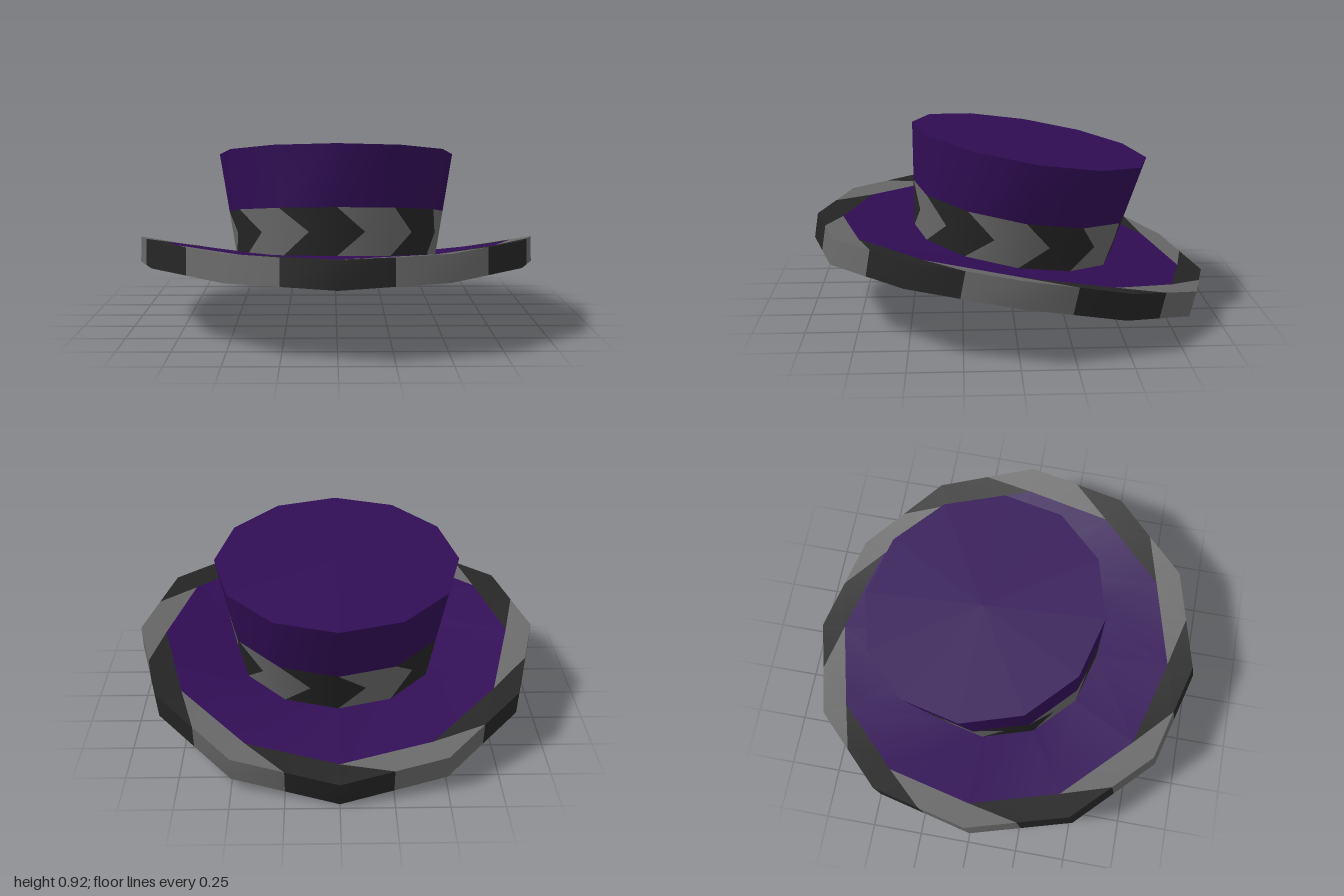
import * as THREE from 'three';
import { toCreasedNormals } from 'three/addons/utils/BufferGeometryUtils.js';

const SIDES = 12;
const STEP = (Math.PI * 2) / SIDES;
const TILT = 0.162; // backward lean of the crown
const lerp = THREE.MathUtils.lerp;

const mat = (name, color) =>
  new THREE.MeshStandardMaterial({ name, color, side: THREE.DoubleSide });

// Collects triangles per material and turns them into one mesh
class Surface {
  constructor(name, materials) {
    this.name = name;
    this.materials = materials;
    this.lists = materials.map(() => []);
  }
  poly(m, ...pts) { // convex fan, counter-clockwise from outside
    for (let i = 1; i < pts.length - 1; i++) {
      for (const p of [pts[0], pts[i], pts[i + 1]]) this.lists[m].push(p.x, p.y, p.z);
    }
  }
  // One facet split by an angled colour edge from its middle to a corner
  build() {
    const geo = new THREE.BufferGeometry();
    geo.setAttribute('position', new THREE.Float32BufferAttribute(this.lists.flat(), 3));
    let start = 0;
    this.lists.forEach((list, i) => {
      geo.addGroup(start, list.length / 3, i);
      start += list.length / 3;
    });
    const mesh = new THREE.Mesh(toCreasedNormals(geo, 0.62),
      this.materials.length > 1 ? this.materials : this.materials[0]);
    mesh.name = this.name;
    return mesh;
  }
}

const ring = (fn) => Array.from({ length: SIDES }, (_, k) => fn(Math.sin(k * STEP), Math.cos(k * STEP)));
const mid = (a, b) => a.clone().lerp(b, 0.5);
const blend = (a, b, t) => a.map((p, k) => p.clone().lerp(b[k], t));

// Ring of the leaning, flaring crown at height fraction t
const crownRing = (t) => ring((s, c) => {
  const r = lerp(0.51, 0.6, t);
  return new THREE.Vector3(
    r * s,
    lerp(0.31, 0.825, t) + r * c * Math.sin(TILT),
    lerp(-0.013, -0.1, t) + r * c * Math.cos(TILT));
});

export function createModel() {
  const purple = mat('purple felt', 0x310d55);
  const light = mat('light grey trim', 0x686868);
  const dark = mat('dark grey trim', 0x252525);

  // Curved brim edge: sides higher, back dropping low
  const bend = (c) => 0.165 * c - 0.12 * c * c;
  const lowOuter = ring((s, c) => new THREE.Vector3(s, 0.285 + bend(c), 0.985 * c + 0.015));
  const topOuter = ring((s, c) => new THREE.Vector3(s, 0.41 + bend(c), 0.99 * c - 0.01));
  const lowHole = ring((s, c) => new THREE.Vector3(0.5 * s, 0.245 + bend(0.5 * c), 0.5 * c));
  const base = crownRing(0);
  const lowInner = blend(lowOuter, lowHole, 0.26);
  const topInner = blend(topOuter, base, 0.26);

  const bandTop = crownRing(0.437);
  const bandMid = crownRing(0.2185);
  const top = crownRing(1);
  const centre = new THREE.Vector3(0, 0.825, -0.1);

  const brim = new Surface('brim', [purple]);
  const trim = new Surface('brimTrim', [dark, light]);
  const band = new Surface('hatBand', [light, dark]);
  const crown = new Surface('crown', [purple]);
  const crownTop = new Surface('crownTop', [purple]);

  for (let k = 0; k < SIDES; k++) {
    const n = (k + 1) % SIDES;
    const here = k % 2;
    const next = 1 - here;

    // Brim: upper face, underside and the wall of the head opening
    brim.poly(0, topInner[k], topInner[n], base[n], base[k]);
    brim.poly(0, lowHole[k], lowHole[n], lowInner[n], lowInner[k]);
    brim.poly(0, base[k], base[n], lowHole[n], lowHole[k]);

    // Trim: chevrons folded over the brim edge
    const mTop = mid(topOuter[k], topOuter[n]);
    const mLow = mid(lowOuter[k], lowOuter[n]);
    trim.poly(here, lowOuter[k], mLow, mTop, topOuter[k]);
    trim.poly(next, mLow, lowOuter[n], topOuter[n], mTop);
    trim.poly(here, topOuter[k], mTop, topInner[k]);
    trim.poly(next, mTop, topOuter[n], topInner[n], topInner[k]);
    trim.poly(here, lowInner[k], mLow, lowOuter[k]);
    trim.poly(next, lowInner[k], lowInner[n], lowOuter[n], mLow);

    // Band: chevron tip in the middle of each facet
    const tip = mid(bandMid[k], bandMid[n]);
    band.poly(next, base[k], tip, bandTop[k]);
    band.poly(here, tip, base[k], base[n], bandTop[n], bandTop[k]);

    // Crown wall and flat top
    crown.poly(0, bandTop[k], bandTop[n], top[n], top[k]);
    crownTop.poly(0, centre, top[k], top[n]);
  }

  const hat = new THREE.Group();
  hat.name = 'hat';
  for (const part of [brim, trim, band, crown, crownTop]) hat.add(part.build());
  return hat;
}
